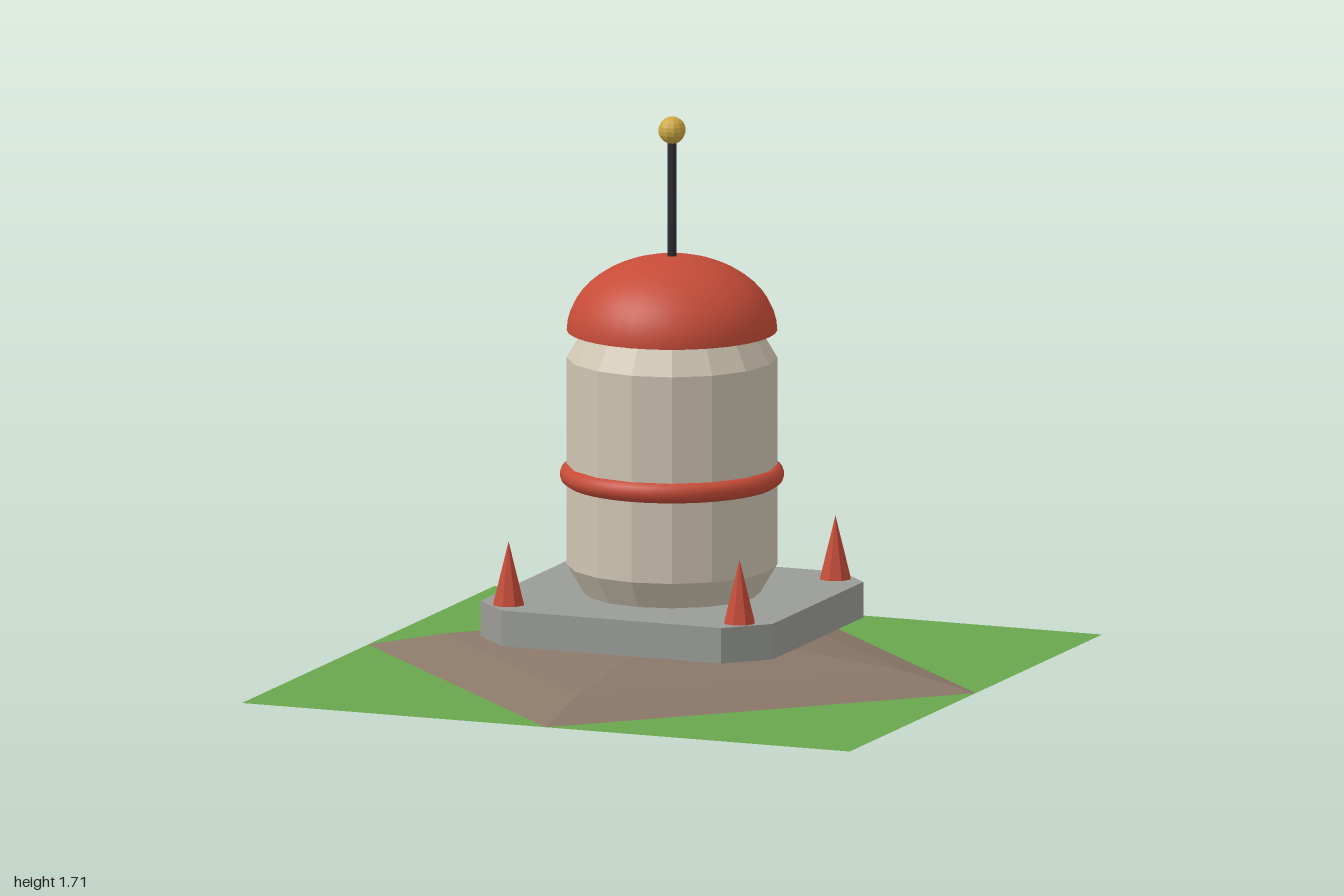
import * as THREE from 'three';

const mat = (name, color, side = THREE.FrontSide) => {
  const m = new THREE.MeshStandardMaterial({ color, side });
  m.name = name;
  return m;
};

// Faceted normals
function flat(geometry) {
  const g = geometry.index ? geometry.toNonIndexed() : geometry;
  g.computeVertexNormals();
  return g;
}

const lathe = (points, sides) =>
  new THREE.LatheGeometry(points.map(([r, y]) => new THREE.Vector2(r, y)), sides);

export function createModel() {
  const model = new THREE.Group();
  model.name = 'domedTower';

  const grass = mat('grass green', 0x69a64e, THREE.DoubleSide);
  const earth = mat('earth brown', 0x8a7768, THREE.DoubleSide);
  const stone = mat('stone grey', 0x9a9c97);
  const rampGrey = mat('ramp grey', 0xa6a8a1);
  const plaster = mat('plaster cream', 0xcfc5b2);
  const red = mat('roof red', 0xc64c38);
  const dark = mat('dark metal', 0x2e2d35);
  const gold = mat('gold', 0xcfa845);

  const add = (name, geometry, material, x = 0, y = 0, z = 0) => {
    const mesh = new THREE.Mesh(geometry, material);
    mesh.name = name;
    mesh.position.set(x, y, z);
    model.add(mesh);
    return mesh;
  };

  // Ground: four grass corners around a diamond-shaped open mound
  const corner = new THREE.Shape([[1, 0], [1, 1], [0, 1]].map(([x, y]) => new THREE.Vector2(x, y)));
  for (let i = 0; i < 4; i++) {
    const g = new THREE.ShapeGeometry(corner).rotateX(-Math.PI / 2).rotateY(i * Math.PI / 2);
    add('grassCorner', g, grass);
  }
  add('mound', flat(lathe([[1, 0], [0.75, 0.053], [0.4, 0.09], [0, 0.12]], 4)), earth);

  // Platform with cut corners
  const a = 0.48, b = 0.36;
  const outline = new THREE.Shape(
    [[a, -b], [a, b], [b, a], [-b, a], [-a, b], [-a, -b], [-b, -a], [b, -a]]
      .map(([x, y]) => new THREE.Vector2(x, y)));
  add('platform', new THREE.ExtrudeGeometry(outline, { depth: 0.11, bevelEnabled: false })
    .rotateX(-Math.PI / 2), stone, 0, 0.13);

  // Wedge ramp at the back, profile drawn as (-z, y)
  const wedge = new THREE.Shape(
    [[0.48, 0.05], [0.92, 0.05], [0.48, 0.24]].map(([x, y]) => new THREE.Vector2(x, y)));
  add('ramp', new THREE.ExtrudeGeometry(wedge, { depth: 0.32, bevelEnabled: false })
    .rotateY(Math.PI / 2), rampGrey, -0.16);

  // Tower body with tapered ends
  add('towerBody', flat(lathe(
    [[0, 0.24], [0.27, 0.24], [0.32, 0.325], [0.32, 0.965], [0.27, 1.05], [0, 1.05]], 16)), plaster);
  add('band', new THREE.TorusGeometry(0.31, 0.032, 10, 40).rotateX(Math.PI / 2), red, 0, 0.605);
  add('door', new THREE.BoxGeometry(0.16, 0.31, 0.045), dark, 0, 0.395, -0.3025);

  // Flattened dome with closed underside
  add('dome', new THREE.SphereGeometry(0.32, 32, 12, 0, Math.PI * 2, 0, Math.PI / 2)
    .scale(1, 0.23 / 0.32, 1), red, 0, 1.05);
  add('domeUnderside', new THREE.CircleGeometry(0.32, 32).rotateX(Math.PI / 2), red, 0, 1.05);

  // Antenna
  add('antennaMast', new THREE.CylinderGeometry(0.015, 0.015, 0.41, 8), dark, 0, 1.465);
  add('antennaBall', flat(new THREE.SphereGeometry(0.042, 12, 10)), gold, 0, 1.668);

  // Corner spikes
  for (const x of [-0.38, 0.38]) {
    for (const z of [-0.38, 0.38]) {
      add('cornerSpike', flat(new THREE.ConeGeometry(0.05, 0.195, 8)), red, x, 0.3375, z);
    }
  }
  return model;
}
